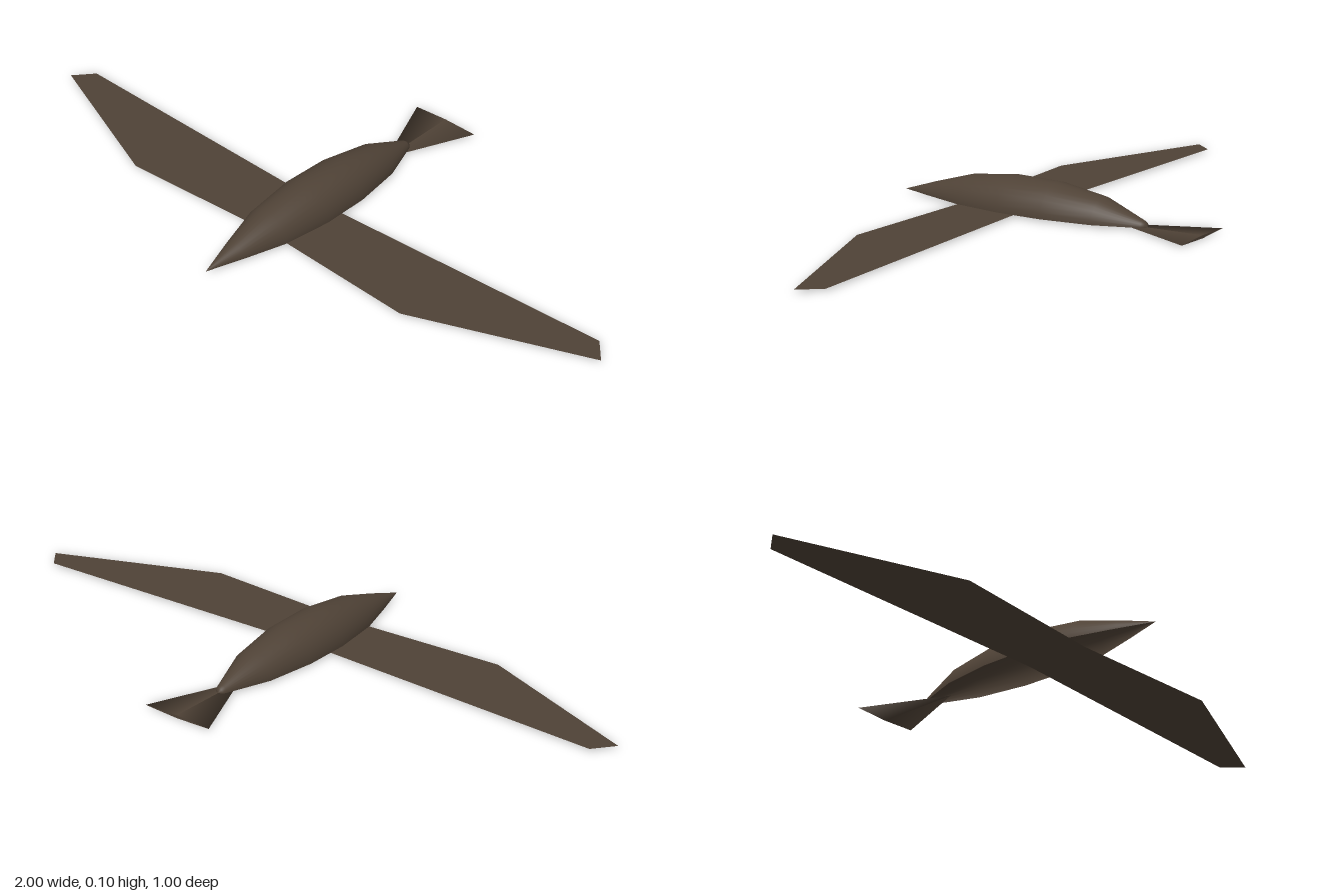
import * as THREE from 'three';

const plumage = new THREE.MeshStandardMaterial({ color: 0x4f4236, side: THREE.DoubleSide });
plumage.name = 'brown plumage';

function part(name, geometry) {
  const mesh = new THREE.Mesh(geometry, plumage);
  mesh.name = name;
  return mesh;
}

export function createModel() {
  const bird = new THREE.Group();
  bird.name = 'glidingBird';

  // Body: half-round shell, open underneath; profile is [radius, z] from rump to beak
  const profile = [
    [0, -0.33], [0.012, -0.325], [0.018, -0.315], [0.066, -0.186], [0.089, -0.035],
    [0.091, 0.11], [0.073, 0.26], [0.036, 0.385], [0, 0.495],
  ].map(([r, z]) => new THREE.Vector2(r, z));
  const body = new THREE.LatheGeometry(profile, 16, Math.PI / 2, Math.PI);
  body.rotateX(Math.PI / 2).translate(0, 0.006, 0);
  bird.add(part('body', body));

  // Wings: flat mirrored sheets meeting under the body; outline is [x, z]
  const outline = [[0, 0.056], [0.95, 0.02], [1, 0.08], [0.5, 0.28], [0, 0.253]];
  for (const side of [1, -1]) {
    const shape = new THREE.Shape(outline.map(([x, z]) => new THREE.Vector2(side * x, -z)));
    const wing = new THREE.ShapeGeometry(shape).rotateX(-Math.PI / 2).translate(0, 0.006, 0);
    bird.add(part(side > 0 ? 'leftWing' : 'rightWing', wing));
  }

  // Tail: four-sided cone squashed flat, point toward the body
  const tail = new THREE.ConeGeometry(0.11, 0.26, 4);
  tail.rotateX(Math.PI / 2).scale(1, 0.04, 1).translate(0, 0.0045, -0.37);
  bird.add(part('tail', tail));

  return bird;
}
